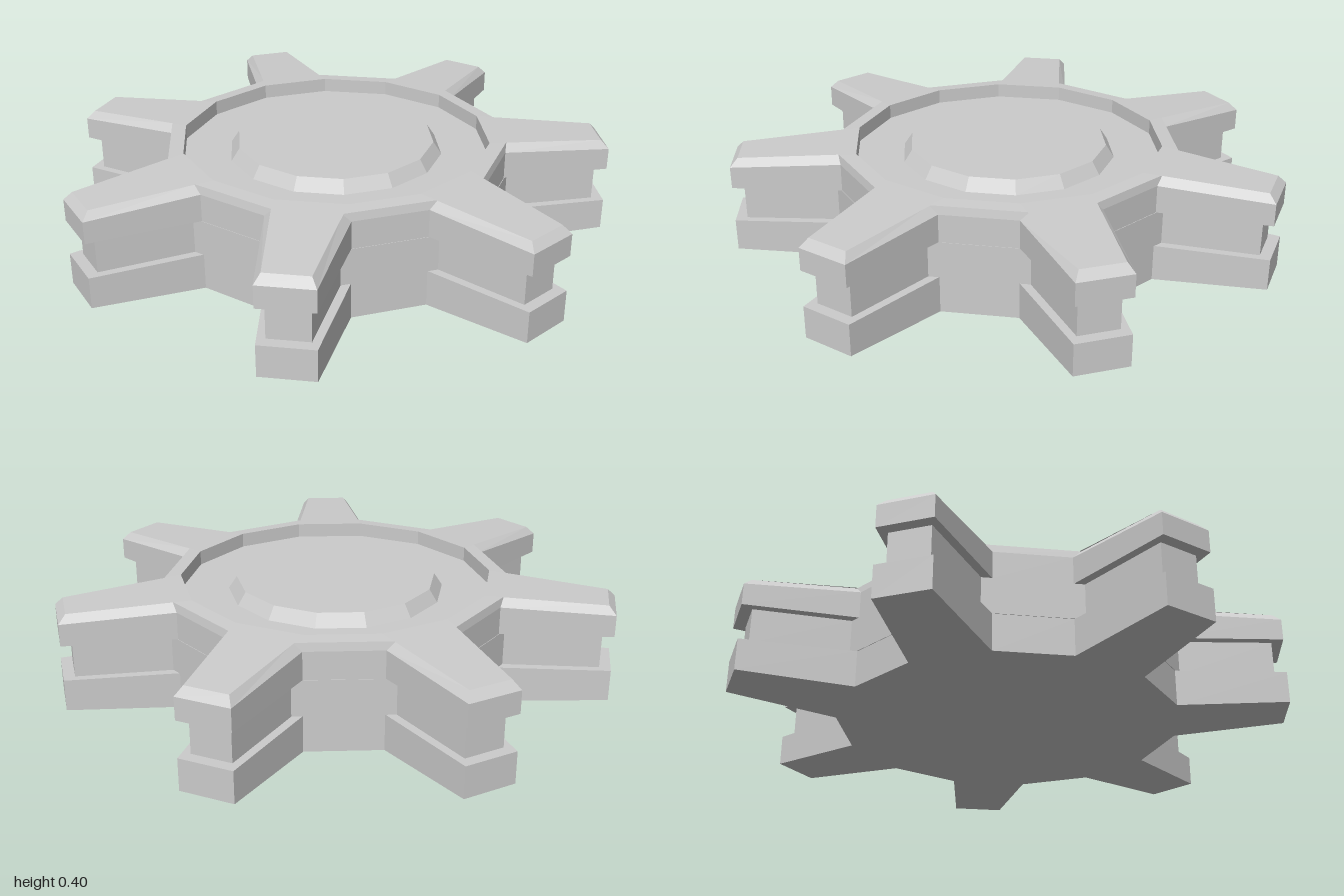
import * as THREE from 'three';

const TEETH = 7;
const STEP = (Math.PI * 2) / TEETH;
const CENTRE_Z = -0.03;

// Toothed loop: four points per tooth (valley, tip, tip, valley).
// height(z) gives y from the distance along the tooth.
function toothLoop(baseHalf, baseZ, tipHalf, tipZ, height) {
  const loop = [];
  for (let i = 0; i < TEETH; i++) {
    const c = Math.cos(i * STEP), s = Math.sin(i * STEP);
    for (const [x, z] of [[-baseHalf, baseZ], [-tipHalf, tipZ], [tipHalf, tipZ], [baseHalf, baseZ]])
      loop.push(new THREE.Vector3(x * c + z * s, height(z), z * c - x * s));
  }
  return loop;
}

// Fourteen-sided loop with each corner doubled, so it joins a toothed loop
function hubLoop(r, y) {
  const x = r * Math.sin(STEP / 4), z = r * Math.cos(STEP / 4);
  return toothLoop(x, z, x, z, () => y);
}

// Flat-faceted skin through a stack of loops, skipping empty triangles
function loft(name, loops, material) {
  const positions = [];
  const tri = (a, b, c) => {
    const area = b.clone().sub(a).cross(c.clone().sub(a)).length();
    if (area > 1e-7) for (const p of [a, b, c]) positions.push(p.x, p.y, p.z);
  };
  for (let k = 0; k < loops.length - 1; k++) {
    const lo = loops[k], hi = loops[k + 1], n = lo.length;
    for (let i = 0; i < n; i++) {
      const j = (i + 1) % n;
      tri(lo[i], lo[j], hi[j]);
      tri(lo[i], hi[j], hi[i]);
    }
  }
  const geometry = new THREE.BufferGeometry();
  geometry.setAttribute('position', new THREE.Float32BufferAttribute(positions, 3));
  geometry.computeVertexNormals();
  const mesh = new THREE.Mesh(geometry, material);
  mesh.name = name;
  return mesh;
}

export function createModel() {
  const group = new THREE.Group();
  group.name = 'gear';
  const material = new THREE.MeshStandardMaterial({ color: 0xcccccc, flatShading: true });

  // Faces slope gently from the hub towards the tooth tips
  const slope = (hubY, tipY) => (z) => hubY + ((tipY - hubY) * (z - 0.548)) / (1 - 0.548);
  const outer = (height) => toothLoop(0.142, 0.604, 0.096, 1.0, height);
  const groove = (y) => toothLoop(0.109, 0.622, 0.072, 0.96, () => y);

  // Toothed body: underside, lower plate, groove, upper plate, bevel, recess
  group.add(loft('gearBody', [
    hubLoop(0, 0),
    hubLoop(0.562, 0),
    outer(slope(0, 0.02)),
    outer(() => 0.135),
    groove(0.135),
    groove(0.265),
    outer(() => 0.265),
    outer(slope(0.368, 0.345)),
    toothLoop(0.113, 0.612, 0.077, 0.973, slope(0.398, 0.373)),
    hubLoop(0.562, 0.398),
    hubLoop(0.562, 0.345),
    hubLoop(0.39, 0.345),
  ], material));

  // Raised bevelled disc in the middle of the recess
  group.add(loft('centreDisc', [
    hubLoop(0.39, 0.345),
    hubLoop(0.36, 0.39),
    hubLoop(0, 0.39),
  ], material));

  for (const mesh of group.children) mesh.position.z = CENTRE_Z;
  return group;
}
